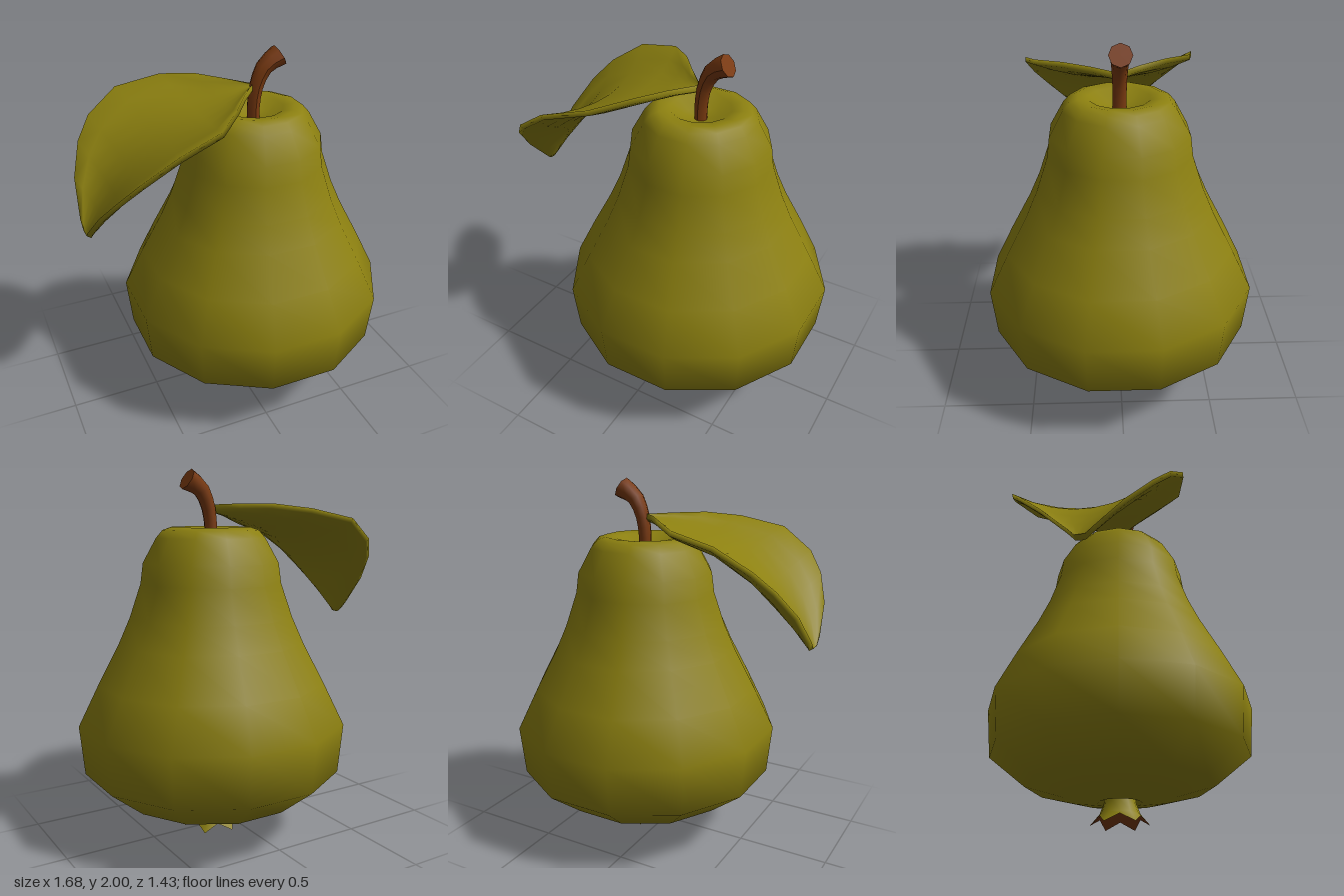
import * as THREE from 'three';

const AXIS = 0.125; // x of the pear's core
const SIDES = 12;

const skin = new THREE.MeshStandardMaterial({ color: 0x8c8010 });
skin.name = 'olive skin';
const bark = new THREE.MeshStandardMaterial({ color: 0x7a3a10 });
bark.name = 'brown bark';

function part(name, geometry, material) {
  const mesh = new THREE.Mesh(geometry, material);
  mesh.name = name;
  return mesh;
}

// Twelve-sided turned form, turned so a flat side faces the front
function turned(points) {
  const g = new THREE.LatheGeometry(points.map(([r, y]) => new THREE.Vector2(r, y)), SIDES);
  g.rotateY(Math.PI / 12);
  return g;
}

function indexed(positions, index) {
  const g = new THREE.BufferGeometry();
  g.setAttribute('position', new THREE.Float32BufferAttribute(positions, 3));
  g.setIndex(index);
  g.computeVertexNormals();
  return g;
}

function makeBody() {
  return part('body', turned([
    [0, 0.18], [0.06, 0.165], [0.12, 0.118], [0.3, 0.15], [0.515, 0.21], [0.714, 0.37],
    [0.74, 0.64], [0.63, 0.86], [0.513, 1.08], [0.45, 1.22], [0.388, 1.4], [0.373, 1.51],
    [0.3, 1.64], [0.265, 1.68], [0.22, 1.695], [0.16, 1.685], [0.09, 1.64], [0, 1.62],
  ]), skin);
}

// Flared calyx: every second rim corner is pulled in and up to leave six teeth
function makeCalyx() {
  const group = new THREE.Group();
  group.name = 'calyx';
  const notched = (points, rim) => {
    const g = turned(points);
    const p = g.attributes.position;
    for (let i = 1; i <= SIDES; i += 2) {
      const k = i * points.length + rim;
      p.setXYZ(k, p.getX(k) * 0.78, 0.042, p.getZ(k) * 0.78);
    }
    g.computeVertexNormals();
    return g;
  };
  group.add(part('calyxOuter', notched([[0.16, 0], [0.108, 0.06], [0.085, 0.12], [0.08, 0.18]], 0), skin));
  group.add(part('calyxInner', notched([[0, 0.09], [0.07, 0.075], [0.16, 0]], 2), bark));
  return group;
}

// Bent stalk that widens towards its cut end
function makeStem() {
  const group = new THREE.Group();
  group.name = 'stem';
  const path = new THREE.CatmullRomCurve3([
    [0, 1.58], [0, 1.7], [0.018, 1.81], [0.065, 1.9], [0.142, 1.944],
  ].map(([x, y]) => new THREE.Vector3(x, y, 0)));
  const steps = 8, sides = 8;
  const g = new THREE.TubeGeometry(path, steps, 1, sides);
  const p = g.attributes.position;
  const v = new THREE.Vector3();
  for (let i = 0; i <= steps; i++) {
    const c = path.getPointAt(i / steps);
    const r = 0.035 + 0.025 * Math.pow(i / steps, 3);
    for (let j = 0; j <= sides; j++) {
      const k = i * (sides + 1) + j;
      v.fromBufferAttribute(p, k).sub(c).multiplyScalar(r).add(c);
      p.setXYZ(k, v.x, v.y, v.z);
    }
  }
  g.computeVertexNormals();
  group.add(part('stalk', g, bark));

  // Cut end
  const end = path.getPointAt(1);
  const positions = [end.x, end.y, end.z], index = [];
  for (let j = 0; j < sides; j++) {
    v.fromBufferAttribute(p, steps * (sides + 1) + j);
    positions.push(v.x, v.y, v.z);
    index.push(0, 1 + (j + 1) % sides, 1 + j);
  }
  group.add(part('stalkEnd', indexed(positions, index), bark));
  return group;
}

// Drooping cupped leaf, lofted from closed cross-sections
function makeLeaf() {
  // Midrib x, y, then edge x, y and half width
  const stations = [
    [0.11, 1.785, 0.11, 1.8, 0.012],
    [0.02, 1.765, 0.01, 1.805, 0.13],
    [-0.07, 1.74, -0.1, 1.805, 0.275],
    [-0.2, 1.7, -0.25, 1.78, 0.425],
    [-0.4, 1.635, -0.49, 1.73, 0.478],
    [-0.58, 1.5, -0.66, 1.62, 0.43],
    [-0.67, 1.39, -0.745, 1.52, 0.35],
    [-0.75, 1.285, -0.81, 1.38, 0.22],
    [-0.812, 1.19, -0.832, 1.22, 0.07],
    [-0.825, 1.172, -0.83, 1.175, 0.03],
  ];
  const half = 0.014, n = 8, ring = 2 * n + 2;
  const positions = [], index = [];
  stations.forEach(([mx, my, ex, ey, w], i) => {
    const a = stations[Math.max(i - 1, 0)];
    const b = stations[Math.min(i + 1, stations.length - 1)];
    const len = Math.hypot(b[0] - a[0], b[1] - a[1]);
    const nx = (b[1] - a[1]) / len, ny = -(b[0] - a[0]) / len; // upper side
    const zMid = 0.04 - 0.075 * (mx + 0.37);
    for (let j = 0; j < ring; j++) {
      const top = j <= n;
      const u = (top ? j : ring - 1 - j) / n * 2 - 1;
      const lift = u * u * (u > 0 ? 0.8 : 1);
      const t = top ? half : -half;
      positions.push(mx + (ex - mx) * lift + nx * t, my + (ey - my) * lift + ny * t, zMid + w * u);
    }
  });
  const last = stations.length - 1;
  for (let i = 0; i < last; i++) {
    for (let j = 0; j < ring; j++) {
      const a = i * ring + j, b = i * ring + (j + 1) % ring;
      index.push(a, a + ring, b, b, a + ring, b + ring);
    }
  }
  // Close both ends
  for (let j = 1; j < ring - 1; j++) {
    index.push(0, j, j + 1);
    index.push(last * ring, last * ring + j + 1, last * ring + j);
  }
  return part('leaf', indexed(positions, index), skin);
}

export function createModel() {
  const model = new THREE.Group();
  model.name = 'pear';
  const fruit = new THREE.Group();
  fruit.name = 'fruit';
  fruit.position.x = AXIS;
  fruit.add(makeBody(), makeCalyx(), makeStem());
  model.add(fruit, makeLeaf());
  return model;
}
